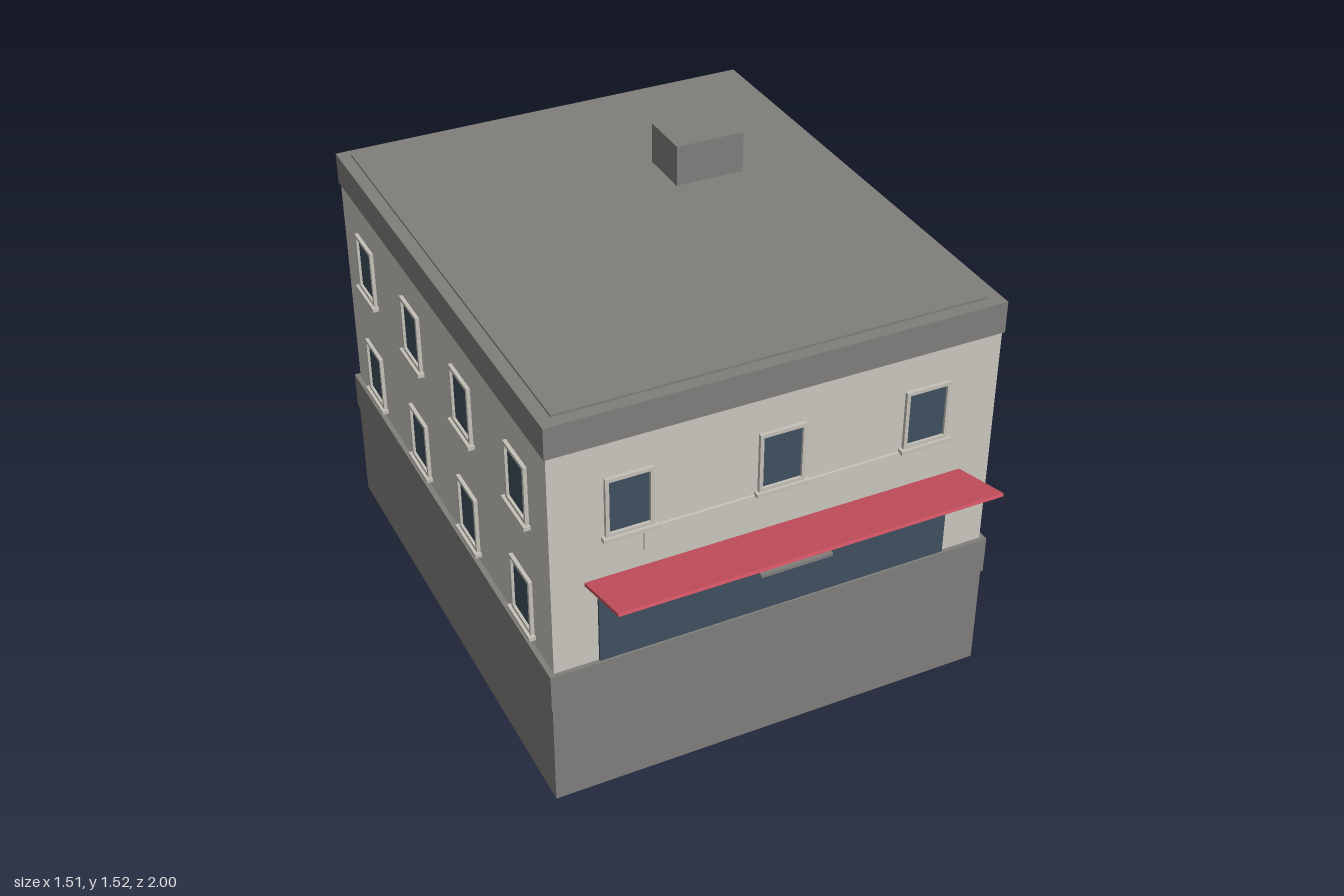
import * as THREE from 'three';

const mat = (name, color) => Object.assign(new THREE.MeshStandardMaterial({ color }), { name });

export function createModel() {
  const wall = mat('cream wall', 0xc9c6bf);
  const trim = mat('pale trim', 0xc3c0b7);
  const stone = mat('grey stone', 0x807e7b);
  const glass = mat('blue glass', 0x3f4e5d);
  const red = mat('red awning', 0xcf5262);

  const model = new THREE.Group();
  model.name = 'building';
  const midZ = -0.105; // the block sits back to leave room for the awning

  // box given by its limits on each axis
  function box(name, material, [x0, x1], [y0, y1], [z0, z1], parent = model) {
    const mesh = new THREE.Mesh(new THREE.BoxGeometry(x1 - x0, y1 - y0, z1 - z0), material);
    mesh.position.set((x0 + x1) / 2, (y0 + y1) / 2, (z0 + z1) / 2);
    mesh.name = name;
    parent.add(mesh);
    return mesh;
  }
  const block = (name, material, hx, hz, y) =>
    box(name, material, [-hx, hx], y, [midZ - hz, midZ + hz]);

  // main masses
  block('base', stone, 0.747, 0.879, [0, 0.37]);
  block('baseBand', stone, 0.752, 0.885, [0.365, 0.497]);
  block('walls', wall, 0.735, 0.87, [0.49, 1.28]);
  block('cornice', stone, 0.741, 0.876, [1.272, 1.378]);
  block('roofSlab', stone, 0.7, 0.835, [1.37, 1.385]);
  box('roofHut', stone, [0.172, 0.41], [1.38, 1.525], [-0.462, -0.277]);

  // shopfront
  box('shopWindow', glass, [-0.59, 0.59], [0.49, 0.73], [0.76, 0.773]);
  box('doorCanopy', stone, [-0.12, 0.12], [0.725, 0.736], [0.76, 0.885]);
  box('signBoard', wall, [-0.443, 0.443], [0.86, 0.94], [0.76, 0.773]);
  const awning = new THREE.Mesh(new THREE.BoxGeometry(1.26, 0.011, 0.245), red);
  awning.name = 'awning';
  awning.position.set(0, 0.829, 0.881);
  awning.rotation.x = -0.27;
  model.add(awning);

  // window frame: rectangle with an opening
  const rect = (Type, hw, y0, y1) => new Type([
    new THREE.Vector2(-hw, y0), new THREE.Vector2(hw, y0),
    new THREE.Vector2(hw, y1), new THREE.Vector2(-hw, y1)]);
  const frameShape = rect(THREE.Shape, 0.076, 0, 0.202);
  frameShape.holes.push(rect(THREE.Path, 0.064, 0.012, 0.19));
  const frameGeometry = new THREE.ExtrudeGeometry(frameShape, { depth: 0.012, bevelEnabled: false });

  function addWindow(x, y, z, turn) {
    const win = new THREE.Group();
    win.name = 'window';
    const frame = new THREE.Mesh(frameGeometry, trim);
    frame.name = 'windowFrame';
    win.add(frame);
    box('windowPane', glass, [-0.065, 0.065], [0.01, 0.192], [-0.004, 0.003], win);
    box('windowSill', trim, [-0.087, 0.087], [-0.012, 0.001], [-0.002, 0.022], win);
    win.position.set(x, y, z);
    win.rotation.y = turn;
    model.add(win);
  }

  // two storeys of windows; the shopfront replaces the lower front row
  for (const y of [0.537, 0.95]) {
    for (const x of [-0.488, 0, 0.488]) {
      if (y > 0.9) addWindow(x, y, 0.765, 0);
      addWindow(x, y, -0.975, Math.PI);
    }
    for (const z of [0.548, 0.114, -0.32, -0.755]) {
      for (const side of [-1, 1]) addWindow(side * 0.735, y, z, side * Math.PI / 2);
    }
  }
  return model;
}
